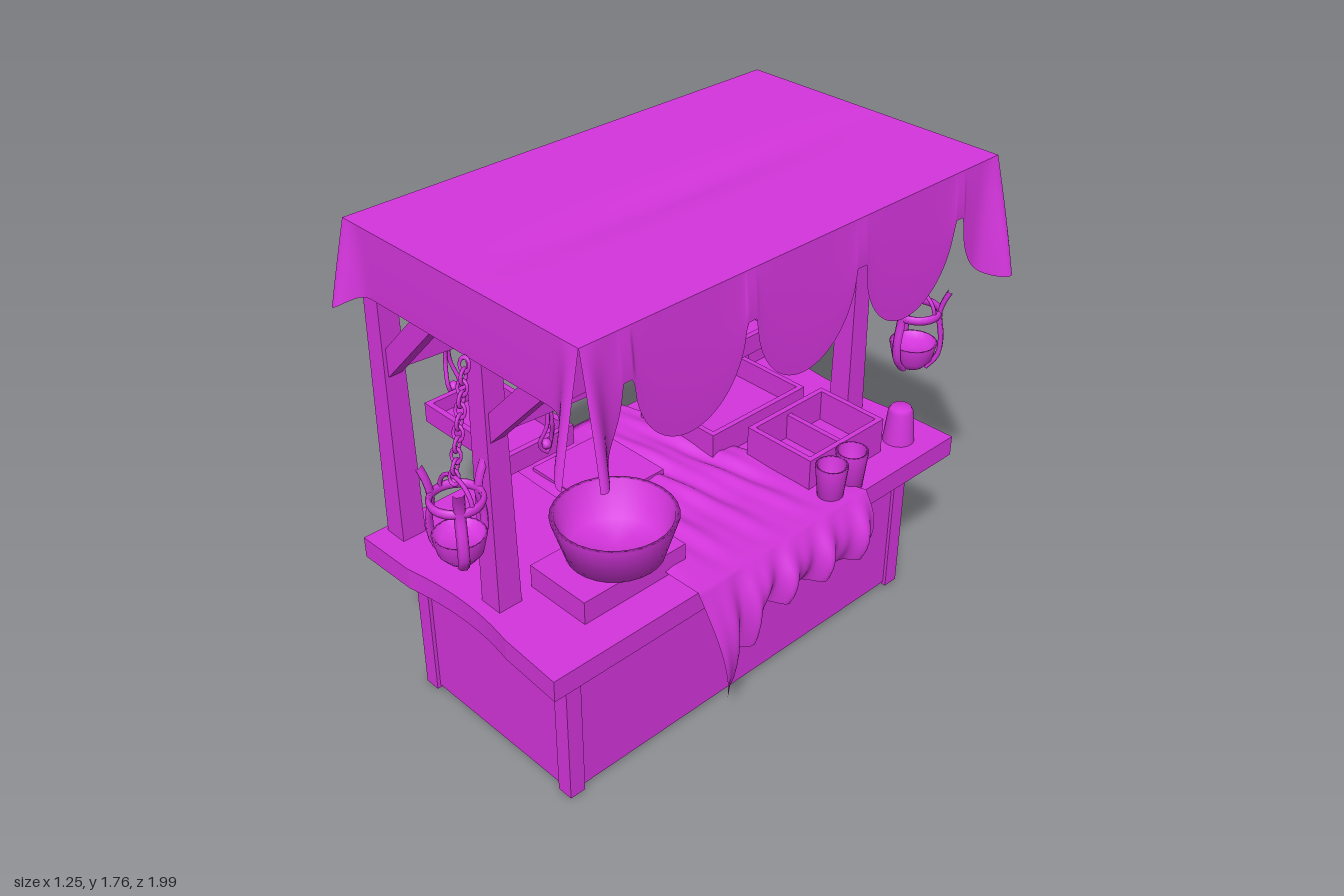
import * as THREE from 'three';
import { ParametricGeometry } from 'three/addons/geometries/ParametricGeometry.js';

const mat = new THREE.MeshStandardMaterial({ color: 0xd435dc });
const thin = new THREE.MeshStandardMaterial({ color: 0xd435dc, side: THREE.DoubleSide });
const V = (x, y, z) => new THREE.Vector3(x, y, z);

function add(parent, name, geo, x = 0, y = 0, z = 0, material = mat) {
  const m = new THREE.Mesh(geo, material);
  m.name = name;
  m.position.set(x, y, z);
  parent.add(m);
  return m;
}

// Box given by its min and max on each axis
function block(parent, name, x0, x1, y0, y1, z0, z1) {
  return add(parent, name, new THREE.BoxGeometry(x1 - x0, y1 - y0, z1 - z0),
    (x0 + x1) / 2, (y0 + y1) / 2, (z0 + z1) / 2);
}

function sheet(parent, name, nu, nv, fn) {
  return add(parent, name, new ParametricGeometry(fn, nu, nv), 0, 0, 0, thin);
}

function lathe(points, sides) {
  return new THREE.LatheGeometry(points.map(p => new THREE.Vector2(...p)), sides);
}

// Square bar between two points in a plane of constant z
function brace(parent, x0, y0, x1, y1, z) {
  const len = Math.hypot(x1 - x0, y1 - y0);
  const m = add(parent, 'brace', new THREE.BoxGeometry(len, 0.07, 0.05), (x0 + x1) / 2, (y0 + y1) / 2, z);
  m.rotation.z = Math.atan2(y1 - y0, x1 - x0);
}

// Open wooden box
function tray(parent, name, x0, x1, y0, y1, z0, z1, t = 0.02) {
  const g = new THREE.Group();
  g.name = name;
  block(g, 'trayFloor', x0 + t, x1 - t, y0, y0 + t, z0 + t, z1 - t);
  block(g, 'traySide', x0, x0 + t, y0, y1, z0, z1);
  block(g, 'traySide', x1 - t, x1, y0, y1, z0, z1);
  block(g, 'trayEnd', x0 + t, x1 - t, y0, y1, z0, z0 + t);
  block(g, 'trayEnd', x0 + t, x1 - t, y0, y1, z1 - t, z1);
  parent.add(g);
}

// Chain of alternating oval links from a to b
function chain(parent, a, b) {
  const n = Math.round(a.distanceTo(b) / 0.034);
  const dir = b.clone().sub(a).normalize();
  for (let i = 0; i <= n; i++) {
    const p = a.clone().lerp(b, i / n);
    const geo = new THREE.TorusGeometry(0.016, 0.0055, 6, 12);
    geo.scale(1, 1.4, 1).rotateY((i % 2) * Math.PI / 2 + 0.4);
    const m = add(parent, 'chainLink', geo, p.x, p.y, p.z);
    m.quaternion.setFromUnitVectors(V(0, -1, 0), dir);
  }
}

// Hanging lantern: bowl, ring and three curved prongs
function lantern(parent, x, y, z, turn, top) {
  const g = new THREE.Group();
  g.name = 'lantern';
  const bowl = [[0, 0], [0.045, 0.01], [0.07, 0.04], [0.084, 0.1], [0.076, 0.1], [0.06, 0.075], [0, 0.07]];
  add(g, 'lanternBowl', lathe(bowl, 20), 0, 0, 0, thin);
  const prong = new THREE.CatmullRomCurve3([V(0.05, 0.01, 0), V(0.086, 0.06, 0), V(0.093, 0.13, 0),
    V(0.08, 0.22, 0), V(0.09, 0.27, 0), V(0.11, 0.315, 0)]);
  for (let i = 0; i < 3; i++) {
    const geo = new THREE.TubeGeometry(prong, 14, 0.01, 6).scale(1, 1, 1.8);
    add(g, 'lanternProng', geo).rotation.y = turn + Math.PI / 2 + i * Math.PI * 2 / 3;
  }
  const ring = new THREE.TorusGeometry(0.08, 0.01, 6, 24).rotateX(Math.PI / 2).scale(1, 1.6, 1);
  add(g, 'lanternRing', ring, 0, 0.225, 0);
  add(g, 'lanternHandle', new THREE.TorusGeometry(0.078, 0.007, 6, 16, Math.PI), 0, 0.225, 0);
  g.position.set(x, y, z);
  parent.add(g);
  chain(parent, top, V(x, y + 0.3, z));
}

// Canopy limits
const X0 = -0.515, X1 = 0.53, Z0 = -0.925, Z1 = 0.82, TOP = 1.765;

// One hanging flap between two corners; each end drops into a puffed ear, tucked in at the corner itself
function flap(parent, name, a, b, out, depth, flare, earA, earB) {
  const len = a.distanceTo(b);
  const earDepth = c => c.x > 0 ? 0.39 : 0.275;
  const near = d => Math.exp(-((d / 0.05) ** 2));
  const puff = d => Math.exp(-(((d - 0.015) / 0.04) ** 2));
  sheet(parent, name, 230, 8, (u, v, t) => {
    const p = a.clone().lerp(b, u);
    const da = u * len, db = len - da;
    const ka = near(da), kb = near(db);
    const side = V(0, 0, 0).addScaledVector(a, ka).addScaledVector(b, kb).setY(0).normalize();
    const drop = depth(p) * (1 - ka - kb) + earDepth(a) * ka + earDepth(b) * kb;
    p.addScaledVector(out, flare * Math.sin(v * 1.7) + v * (earA * puff(da) + earB * puff(db)));
    p.addScaledVector(side, 0.025 * v * (ka + kb));
    t.copy(p).setY(TOP - drop * v);
  });
}

function canopy(parent) {
  sheet(parent, 'canopyTop', 30, 30, (u, v, t) => {
    const x = X0 + (X1 - X0) * u;
    const groove = 0.014 * Math.exp(-(((x - 0.03) / 0.08) ** 2)) * Math.sin(Math.PI * v);
    t.set(x, TOP - groove, Z1 + (Z0 - Z1) * v);
  });
  const c = [V(X0, TOP, Z1), V(X1, TOP, Z1), V(X1, TOP, Z0), V(X0, TOP, Z0)];
  const scallop = p => {
    let best = 0;
    for (const z of [0.9, 0.433, -0.035, -0.502, -0.97]) {
      const q = (p.z - z) / 0.213;
      if (Math.abs(q) < 1) best = Math.sqrt(1 - q * q);
    }
    return 0.155 + 0.26 * best;
  };
  flap(parent, 'canopyFrontFlap', c[0], c[1], V(0, 0, 1), () => 0.225, 0.004, 0.045, 0.07);
  flap(parent, 'canopyScallopedFlap', c[1], c[2], V(1, 0, 0), scallop, 0.015, 0.075, 0.075);
  flap(parent, 'canopyBackFlap', c[2], c[3], V(0, 0, -1), () => 0.225, 0.004, 0.03, 0.02);
  flap(parent, 'canopyPlainFlap', c[3], c[0], V(-1, 0, 0), () => 0.23, 0.004, 0.05, 0.05);
}

// Crumpled cloth lying across the counter and hanging over both sides
function cloth(parent) {
  sheet(parent, 'cloth', 90, 70, (u, v, t) => {
    const zr = 0.32 - 0.8 * v, zl = 0.3 - 0.55 * v;
    const point = Math.max(0, 1 - v / 0.33);
    const dropR = 0.2 + 0.27 * point + 0.03 * v;
    const dropL = 0.16 + 0.22 * v;
    const fold = Math.sin(v * 30 + Math.sin(u * 7)) + 0.5 * Math.sin(v * 55 + u * 9);
    if (u < 0.3) {
      const k = 1 - u / 0.3;
      const bulge = (0.03 + 0.07 * v) * Math.sin(k * 2.5);
      t.set(-0.53 - bulge + 0.13 * k ** 4 * v ** 3 - 0.024 * k * fold, 0.652 - dropL * k, zl + 0.03 * k * Math.sin(k * 4));
    } else if (u > 0.7) {
      const k = (u - 0.7) / 0.3;
      t.set(0.465 + 0.055 * Math.sin(k * 2.8) + 0.03 * k * fold, 0.66 - dropR * k, zr - 0.1 * k * point - 0.02 * k * v);
    } else {
      const k = (u - 0.3) / 0.4;
      const rise = 0.008 * k + 0.009 * Math.sin(k * Math.PI) * (fold + 0.3 * Math.sin(k * 25));
      t.set(-0.53 + 0.995 * k, 0.652 + rise, zl + (zr - zl) * k);
    }
  });
}

export function createModel() {
  const g = new THREE.Group();
  g.name = 'marketStall';

  // Cabinet with corner posts
  block(g, 'cabinet', -0.405, 0.338, 0.012, 0.57, -0.842, 0.757);
  for (const x of [-0.42, 0.29]) for (const z of [-0.855, 0.71]) {
    block(g, 'cabinetCorner', x, x + 0.06, 0, 0.57, z, z + 0.06);
  }

  // Counter with worn, wavy ends
  const top = new THREE.Shape();
  top.moveTo(-0.515, 0.89);
  top.lineTo(-0.28, 0.885);
  top.quadraticCurveTo(-0.03, 0.83, 0.2, 0.875);
  top.lineTo(0.446, 0.89);
  top.lineTo(0.446, -0.98);
  top.lineTo(0.22, -0.975);
  top.quadraticCurveTo(-0.03, -0.93, -0.28, -0.97);
  top.lineTo(-0.515, -0.98);
  const counter = add(g, 'counter', new THREE.ExtrudeGeometry(top, { depth: 0.078, bevelEnabled: false }), 0, 0.638, 0);
  counter.rotation.x = Math.PI / 2;

  // Roof frame: tapered posts, cross beams and braces at both ends
  for (const z of [0.765, -0.855]) {
    for (const x of [-0.45, 0.05]) {
      const post = new THREE.CylinderGeometry(0.048, 0.062, 1.07, 4).rotateY(Math.PI / 4).toNonIndexed();
      post.computeVertexNormals();
      add(g, 'post', post, x, 1.17, z);
      brace(g, x + 0.01, 1.275, x + 0.32, 1.6, z);
    }
    block(g, 'crossBeam', -0.48, 0.47, 1.58, 1.65, z - 0.03, z + 0.03);
  }
  for (const x of [-0.45, 0.05, 0.44]) block(g, 'roofBeam', x - 0.03, x + 0.03, 1.65, 1.72, -0.89, 0.79);

  // Sagging rails the trays hang from
  for (const x of [-0.45, 0.05]) {
    const geo = new THREE.BoxGeometry(0.05, 0.07, 1.6, 1, 1, 14);
    const p = geo.attributes.position;
    for (let i = 0; i < p.count; i++) p.setY(i, p.getY(i) - 0.032 * (1 - (p.getZ(i) / 0.8) ** 2));
    geo.computeVertexNormals();
    add(g, 'sideRail', geo, x, 1.297, -0.045);
  }

  // Hanging trays with rope loops
  for (const z of [0.51, -0.47]) {
    tray(g, 'hangingTray', -0.46, -0.035, 1.005, 1.075, z - 0.13, z + 0.13);
    for (const [x, s] of [[-0.49, 1], [0, -1]]) {
      const rope = new THREE.CatmullRomCurve3([V(x, 1.28, z), V(x - s * 0.01, 1.16, z + 0.009), V(x + s * 0.015, 1.08, z + 0.022),
        V(x + s * 0.01, 1.045, z), V(x + s * 0.015, 1.08, z - 0.022), V(x - s * 0.01, 1.16, z - 0.009)], true);
      add(g, 'trayRope', new THREE.TubeGeometry(rope, 30, 0.007, 6, true));
      add(g, 'trayKnot', new THREE.SphereGeometry(0.018, 8, 6), x + s * 0.012, 1.075, z);
    }
  }

  canopy(g);
  cloth(g);

  // Lanterns at both ends
  lantern(g, 0.058, 0.875, 0.905, 0, V(0.055, 1.52, 0.835));
  lantern(g, 0.29, 0.897, -0.905, Math.PI, V(0.285, 1.58, -0.86));

  // Goods on the counter
  tray(g, 'lowCrate', -0.41, -0.04, 0.638, 0.742, -0.72, -0.25);
  tray(g, 'tallCrate', 0.04, 0.33, 0.638, 0.775, -0.72, -0.34);
  block(g, 'crateDivider', 0.06, 0.31, 0.65, 0.755, -0.54, -0.52);
  block(g, 'bowlStand', 0.06, 0.315, 0.638, 0.722, 0.23, 0.655);
  block(g, 'cuttingBoard', -0.41, -0.09, 0.638, 0.668, -0.06, 0.26);
  const bowl = [[0, 0], [0.16, 0], [0.205, 0.145], [0.19, 0.145], [0.148, 0.02], [0, 0.02]];
  add(g, 'bowl', lathe(bowl, 28), 0.19, 0.723, 0.415, thin);
  const cup = lathe([[0, 0], [0.043, 0], [0.057, 0.138], [0.048, 0.138], [0.038, 0.012], [0, 0.012]], 20);
  add(g, 'cup', cup, 0.395, 0.638, -0.375, thin);
  add(g, 'cup', cup, 0.385, 0.638, -0.49, thin);
  const upturned = lathe([[0.057, 0], [0.045, 0.12], [0.036, 0.136], [0, 0.138]], 20);
  add(g, 'upturnedCup', upturned, 0.32, 0.638, -0.83, thin);

  return g;
}
